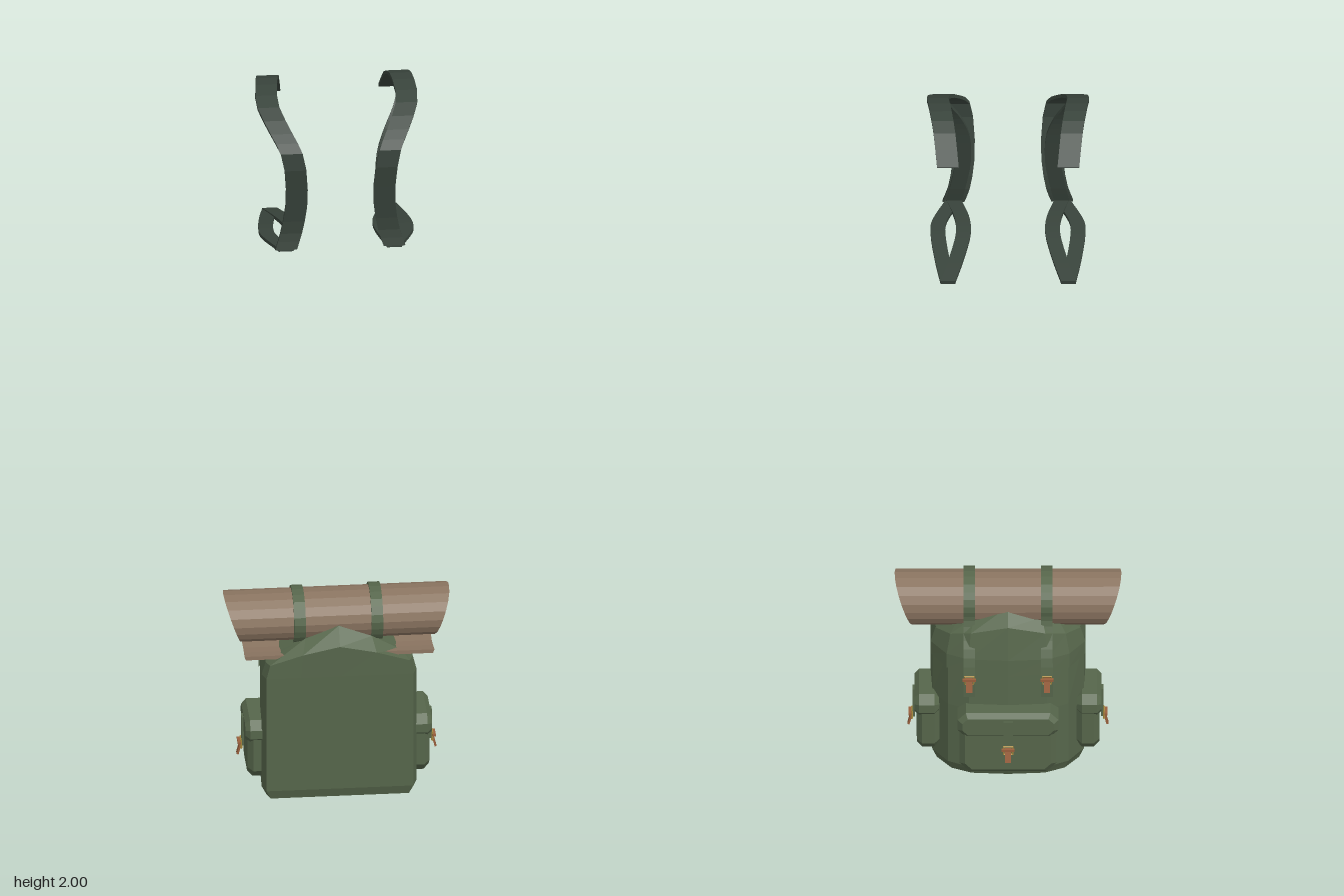
import * as THREE from 'three';

const mat = (name, color, side = THREE.FrontSide) => {
  const m = new THREE.MeshStandardMaterial({ color, flatShading: true, side });
  m.name = name;
  return m;
};

export function createModel() {
  const canvas = mat('olive canvas', 0x56664b, THREE.DoubleSide);
  const webbing = mat('dark webbing', 0x38433b);
  const matBrown = mat('brown mat', 0x8a7460);
  const leather = mat('tan leather', 0x9a5f3c);
  const brass = mat('brass', 0xa98a3e);
  const root = new THREE.Group();
  root.name = 'backpack';

  const add = (parent, name, geo, material, x = 0, y = 0, z = 0) => {
    const m = new THREE.Mesh(geo, material);
    m.name = name;
    m.position.set(x, y, z);
    parent.add(m);
    return m;
  };

  // Joins equal-length rings of points; the faces are turned outward by signed volume
  function loft(rings, closed = true) {
    const n = rings[0].length, pts = rings.flat(), tri = [];
    for (let i = 0; i < rings.length - 1; i++)
      for (let j = 0; j < (closed ? n : n - 1); j++) {
        const a = i * n + j, b = i * n + (j + 1) % n;
        tri.push([a, b, b + n], [a, b + n, a + n]);
      }
    if (closed) {
      const e = (rings.length - 1) * n;
      for (let j = 1; j < n - 1; j++) tri.push([0, j + 1, j], [e, e + j, e + j + 1]);
    }
    let volume = 0;
    for (const [a, b, c] of tri) volume += pts[a].dot(pts[b].clone().cross(pts[c]));
    const geo = new THREE.BufferGeometry().setFromPoints(pts);
    geo.setIndex(tri.flatMap(([a, b, c]) => (closed && volume < 0 ? [a, c, b] : [a, b, c])));
    const flat = geo.toNonIndexed();
    flat.computeVertexNormals();
    return flat;
  }

  // Flat band along a path, its width lying along x; width may depend on height
  function band(path, width, thick, samples) {
    const curve = new THREE.CatmullRomCurve3(path.map(p => new THREE.Vector3(...p)));
    const rings = [];
    for (let i = 0; i <= samples; i++) {
      const p = curve.getPoint(i / samples), t = curve.getTangent(i / samples);
      const n = new THREE.Vector3(0, -t.z, t.y).normalize().multiplyScalar(thick / 2);
      rings.push([[-1, -1], [1, -1], [1, 1], [-1, 1]].map(([sx, sn]) => {
        const q = p.clone().addScaledVector(n, sn);
        q.x += sx * (typeof width === 'function' ? width(q.y) : width) / 2;
        return q;
      }));
    }
    return loft(rings);
  }

  // Main bag: flat front panel, rounded back, arched top
  const half = [[0, .14], [.1, .14], [.19, .14], [.2, .11], [.195, 0], [.155, -.06], [.1, -.088], [0, -.095]];
  const outline = [...half, ...half.slice(1, -1).reverse().map(([x, z]) => [-x, z])];
  const section = (y, arch, sx, front, back, pts = outline) => pts.map(([x, z]) =>
    new THREE.Vector3(x * sx, y + arch * (1 - Math.pow(Math.abs(x) / .2, 1.3)), z > 0 ? z * front : z * back));
  add(root, 'bag', loft([
    section(0, 0, .94, .95, .88), section(.025, 0, 1, 1, 1), section(.2, 0, 1, 1, 1.02),
    section(.35, 0, 1, 1, .9), section(.385, .05, .95, .99, .78), section(.395, .082, .86, .72, .45),
  ]), canvas);

  // Lid overlapping the upper back
  const back = outline.filter(([, z]) => z <= 0);
  add(root, 'lid', loft([
    section(.315, -.01, 1.02, 1, 1.06, back), section(.352, 0, 1.02, 1, 1.02, back),
    section(.392, .05, .96, 1, .85, back), section(.4, .084, .87, 1, .47, back),
  ], false), canvas);

  // Small strap end with brass frame and leather tab, facing local +z
  function buckle(parent, x, y, z) {
    const g = new THREE.Group();
    g.name = 'buckle';
    g.position.set(x, y, z);
    const frame = new THREE.TorusGeometry(.016, .0028, 4, 4);
    frame.rotateZ(Math.PI / 4);
    add(g, 'buckleFrame', frame, brass);
    const tab = add(g, 'buckleTab', new THREE.BoxGeometry(.016, .04, .005), leather, 0, -.012, .004);
    tab.rotation.x = -.25;
    add(g, 'bucklePin', new THREE.BoxGeometry(.034, .006, .008), leather, 0, .004, .005);
    parent.add(g);
  }

  // Bevelled slab with cut corners
  function slab(w, h, d, cut, bevel) {
    const a = w / 2 - bevel, b = h / 2 - bevel, c = cut;
    const s = new THREE.Shape([[-a + c, -b], [a - c, -b], [a, -b + c], [a, b - c], [a - c, b], [-a + c, b], [-a, b - c], [-a, -b + c]]
      .map(p => new THREE.Vector2(...p)));
    const geo = new THREE.ExtrudeGeometry(s, { depth: d - bevel, bevelEnabled: true, bevelSize: bevel, bevelThickness: bevel, bevelSegments: 1 });
    return geo;
  }

  // Pocket with flap, strap and buckle, facing local +z
  function pocket(name, w, h, d, x, y, z, turn) {
    const g = new THREE.Group();
    g.name = name;
    g.position.set(x, y, z);
    g.rotation.y = turn;
    add(g, 'pocketBody', slab(w, h, d, .018, .014), canvas);
    add(g, 'pocketFlap', slab(w + .01, h * .4, d + .006, .014, .012), canvas, 0, h * .31, 0);
    add(g, 'pocketStrap', new THREE.BoxGeometry(.024, h * .5, .006), canvas, 0, h * .16, d + .008);
    buckle(g, 0, -h * .06, d + .012);
    root.add(g);
  }
  pocket('backPocket', .25, .18, .075, 0, .125, -.065, Math.PI);
  for (const s of [-1, 1])
    pocket(s > 0 ? 'leftPocket' : 'rightPocket', .155, .165, .045, s * .19, .125, .032, s * Math.PI / 2);

  // Rolled mat with a loose lower end; its ends slant with height
  const spiral = [[.125, .405], [.06, .4], [0, .41], [-.04, .44], [-.048, .48], [-.028, .52], [.022, .538],
    [.072, .522], [.094, .482], [.085, .445], [.05, .424], [.01, .435], [-.018, .468], [-.005, .502],
    [.03, .514], [.06, .492], [.055, .46], [.025, .455], [.015, .48]];
  add(root, 'rolledMat', band(spiral.map(([z, y]) => [0, y, z]), y => 2 * (.242 + (y - .4) * .35), .01, 38), matBrown);

  // Straps over the mat
  const overMat = [[.25, -.105], [.3, -.105], [.36, -.092], [.41, -.066], [.45, -.052], [.485, -.056], [.526, -.034],
    [.546, .022], [.529, .078], [.485, .103], [.44, .092], [.42, .07]];
  for (const s of [-1, 1]) {
    add(root, 'matStrap', band(overMat.map(([y, z]) => [s * .1, y, z]), .03, .006, 28), canvas);
    const holder = new THREE.Group();
    holder.name = 'matStrapBuckle';
    holder.position.set(s * .1, .3, -.108);
    holder.rotation.y = Math.PI;
    buckle(holder, 0, 0, 0);
    root.add(holder);
  }

  // Shoulder straps floating above: curved front strand, inner strand and two lower tails
  const strands = {
    shoulderStrap: [[.155, 1.9, -.172], [.165, 1.972, -.105], [.175, 1.994, -.035], [.18, 1.972, .055], [.15, 1.925, .13],
      [.125, 1.88, .168], [.113, 1.75, .152], [.125, 1.65, .138], [.14, 1.6, .146]],
    innerStrap: [[.178, 1.985, .02], [.165, 1.95, .045], [.14, 1.9, .07], [.12, 1.84, .088], [.115, 1.75, .108], [.13, 1.65, .13], [.14, 1.6, .145]],
    lowerInnerStrap: [[.14, 1.6, .148], [.118, 1.598, .06], [.115, 1.592, 0], [.135, 1.57, -.1], [.155, 1.552, -.172]],
    lowerOuterStrap: [[.14, 1.6, .148], [.178, 1.592, .05], [.18, 1.587, 0], [.168, 1.566, -.1], [.155, 1.55, -.172]],
  };
  for (const s of [-1, 1])
    for (const [name, path] of Object.entries(strands)) {
      const w = name === 'shoulderStrap' ? .056 : name === 'innerStrap' ? .04 : .038;
      add(root, name, band(path.map(([x, y, z]) => [s * x, y, z]), w, .009, 18), webbing);
    }
  return root;
}
